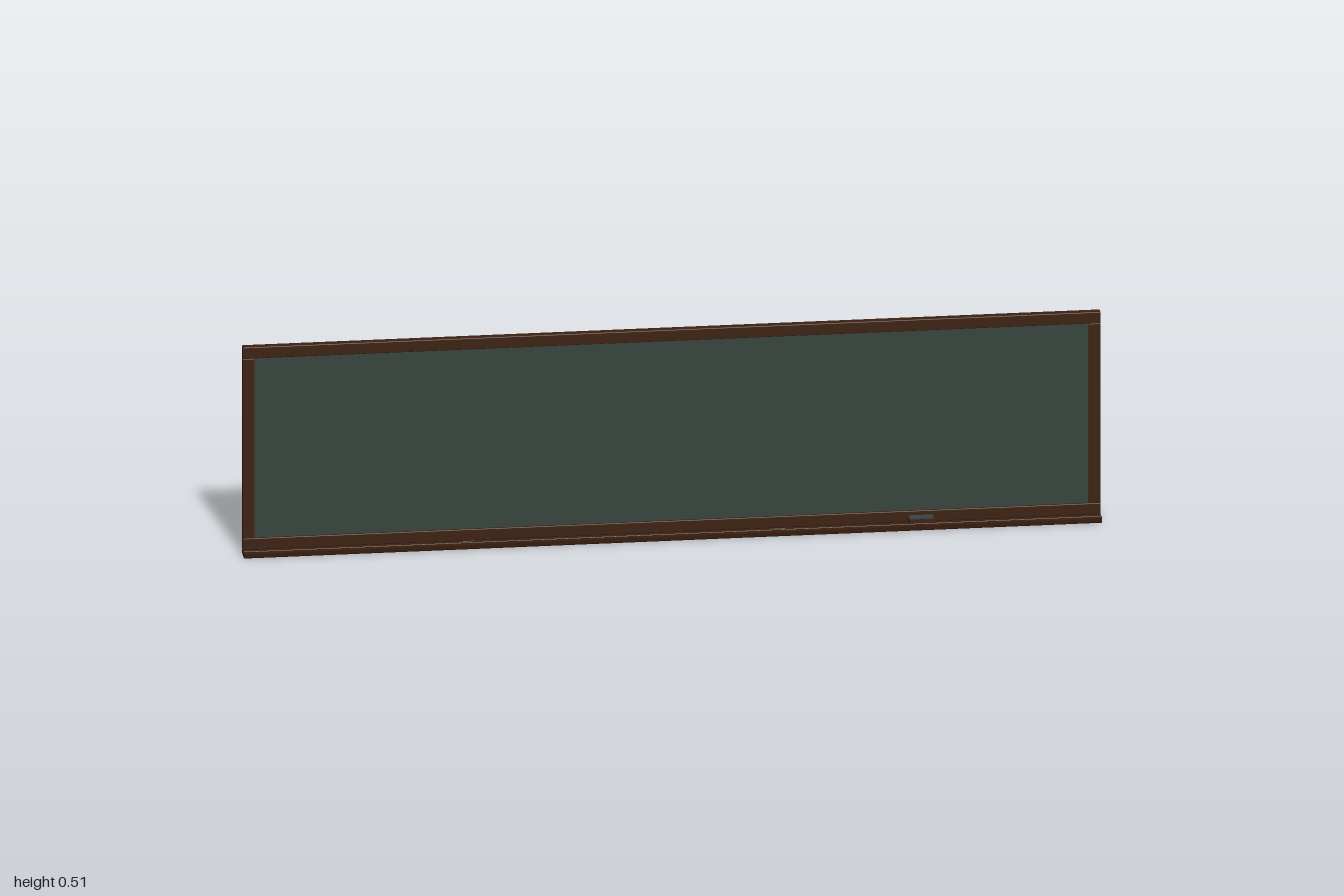
import * as THREE from 'three';
import { RoundedBoxGeometry } from 'three/addons/geometries/RoundedBoxGeometry.js';

export function createModel() {
  const model = new THREE.Group();
  model.name = 'wallBoard';
  const mat = (name, color) => {
    const m = new THREE.MeshStandardMaterial({ color });
    m.name = name;
    return m;
  };
  const wood = mat('dark wood', 0x3c2010);
  const slate = mat('slate green', 0x36443d);
  const felt = mat('eraser felt', 0x3a4446);
  const chalk = mat('dark chalk', 0x2e2018);

  const add = (name, geometry, material, x, y, z) => {
    const mesh = new THREE.Mesh(geometry, material);
    mesh.name = name;
    mesh.position.set(x, y, z);
    model.add(mesh);
    return mesh;
  };
  const bar = (w, h, d) => new RoundedBoxGeometry(w, h, d, 2, 0.002);

  // Writing surface, recessed between the frame bars
  add('board', new THREE.BoxGeometry(1.95, 0.45, 0.008), slate, 0, 0.262, -0.0135);

  // Frame: two long rails and two stiles with softened edges
  const frameZ = -0.0135, depth = 0.019;
  add('topRail', bar(2, 0.028, depth), wood, 0, 0.497, frameZ);
  add('bottomRail', bar(2, 0.028, depth), wood, 0, 0.026, frameZ);
  for (const side of [-1, 1]) {
    add(side > 0 ? 'leftStile' : 'rightStile', bar(0.028, 0.443, depth), wood, side * 0.986, 0.2615, frameZ);
  }

  // Chalk tray: a shallow channel section with a raised front lip
  const section = new THREE.Shape([
    [-0.015, 0.002], [-0.013, 0], [0.02, 0], [0.022, 0.002], [0.024, 0.012],
    [0.024, 0.017], [0.023, 0.018], [0.021, 0.017], [0.02, 0.012], [-0.015, 0.012],
  ].map(([z, y]) => new THREE.Vector2(z, y)));
  const trayGeometry = new THREE.ExtrudeGeometry(section, { depth: 2, bevelEnabled: false });
  trayGeometry.translate(0, 0, -1).rotateY(-Math.PI / 2);
  add('chalkTray', trayGeometry, wood, 0, 0, 0);

  // Eraser: wooden block with a felt pad
  add('eraserBlock', new THREE.BoxGeometry(0.056, 0.014, 0.018), wood, 0.58, 0.019, 0.007);
  add('eraserFelt', new THREE.BoxGeometry(0.056, 0.004, 0.018), felt, 0.58, 0.028, 0.007);

  // Two small chalk sticks lying in the tray
  for (const [x, turn] of [[-0.475, 0.12], [0.25, -0.15]]) {
    const geometry = new THREE.CylinderGeometry(0.002, 0.002, 0.026, 10).rotateZ(Math.PI / 2);
    add('chalkStick', geometry, chalk, x, 0.014, 0.006).rotation.y = turn;
  }
  return model;
}
